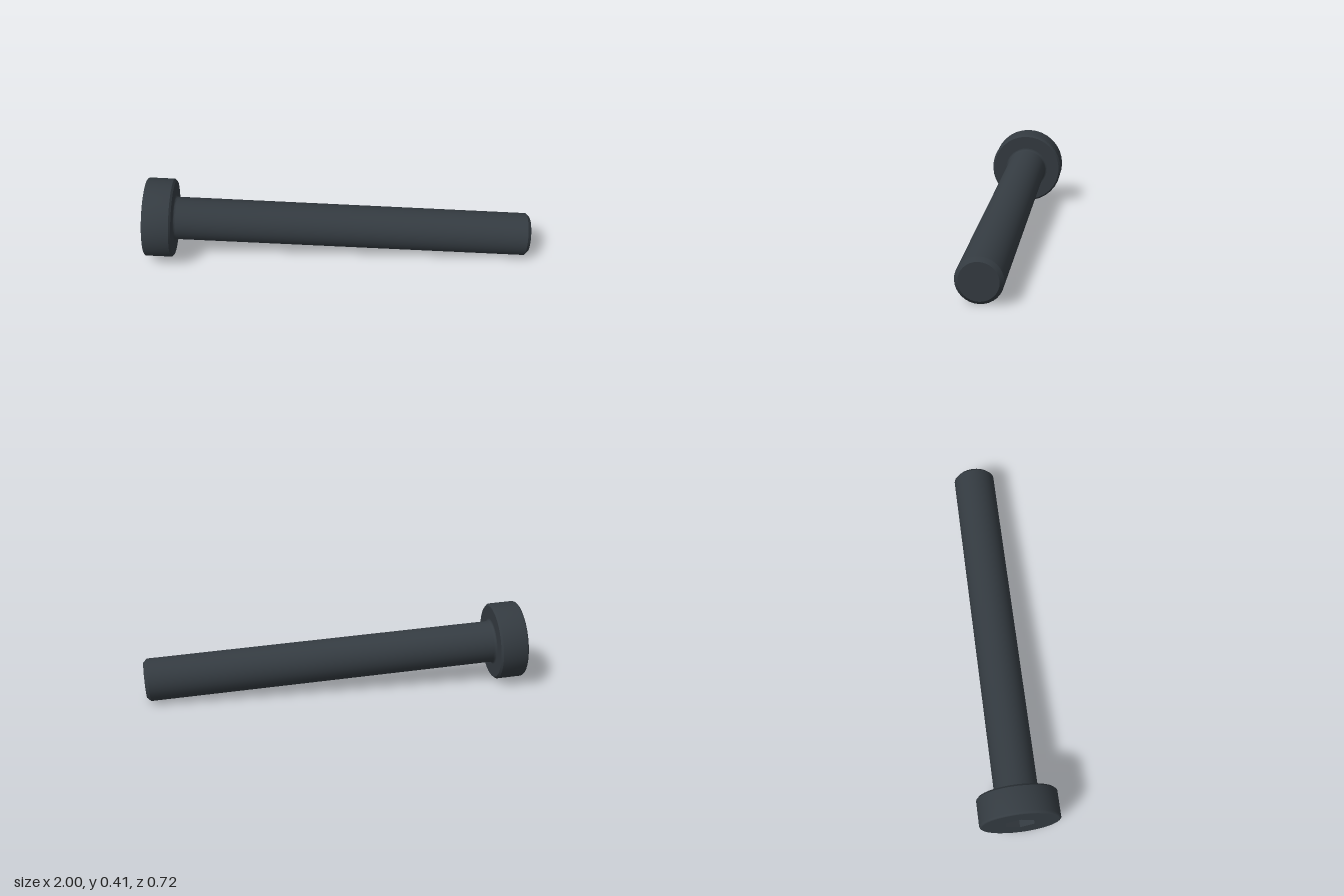
import * as THREE from 'three';
import { toCreasedNormals } from 'three/addons/utils/BufferGeometryUtils.js';

const SEGMENTS = 32;
const HEAD_RADIUS = 0.203, HEAD_HEIGHT = 0.147;
const SHAFT_RADIUS = 0.11, LENGTH = 1.985, TIP_CHAMFER = 0.018;
const EDGE = 0.01, FILLET = 0.012;
const HEX_RADIUS = 0.082, HEX_DEPTH = 0.08;

// Lathe with smooth sides and sharp edges, profile given as [radius, height]
function turned(points) {
  const profile = points.map(([r, y]) => new THREE.Vector2(r, y));
  return toCreasedNormals(new THREE.LatheGeometry(profile, SEGMENTS), 0.5);
}

function polygon(Type, radius, sides) {
  const points = [];
  for (let i = 0; i < sides; i++) {
    const a = (i / sides) * Math.PI * 2;
    points.push(new THREE.Vector2(Math.cos(a) * radius, Math.sin(a) * radius));
  }
  return new Type(points);
}

export function createModel() {
  const model = new THREE.Group();
  model.name = 'socketScrew';
  const steel = new THREE.MeshStandardMaterial({ color: 0x343b41 });
  steel.name = 'blackened steel';

  // The screw is built along local +y, from the head face to the tip
  const screw = new THREE.Group();
  screw.name = 'screw';
  screw.rotation.set(0, -0.211, -(Math.PI / 2 + 0.052), 'YZX');
  screw.position.set(-0.96, 0.2125, -0.163);
  model.add(screw);

  const add = (name, geometry) => {
    const mesh = new THREE.Mesh(geometry, steel);
    mesh.name = name;
    screw.add(mesh);
  };

  // Head side with rounded outer rim and bevelled underside
  const rim = [];
  for (let i = 0; i <= 4; i++) {
    const a = (i / 4) * Math.PI / 2;
    rim.push([HEAD_RADIUS - EDGE + Math.sin(a) * EDGE, EDGE - Math.cos(a) * EDGE]);
  }
  add('head', turned([
    ...rim,
    [HEAD_RADIUS, HEAD_HEIGHT - EDGE],
    [HEAD_RADIUS - EDGE, HEAD_HEIGHT],
    [SHAFT_RADIUS, HEAD_HEIGHT],
  ]));

  // Flat head face with the hexagonal opening
  const face = polygon(THREE.Shape, HEAD_RADIUS - EDGE, SEGMENTS);
  face.holes.push(polygon(THREE.Path, HEX_RADIUS, 6));
  add('headFace', new THREE.ShapeGeometry(face).rotateX(Math.PI / 2));

  // Hexagonal socket: walls facing inward, and floor
  const walls = new THREE.CylinderGeometry(HEX_RADIUS, HEX_RADIUS, HEX_DEPTH, 6, 1, true, Math.PI / 2);
  walls.scale(-1, 1, 1).translate(0, HEX_DEPTH / 2, 0);
  add('socketWalls', toCreasedNormals(walls, 0.5));
  add('socketFloor', new THREE.CircleGeometry(HEX_RADIUS, 6).rotateX(Math.PI / 2).translate(0, HEX_DEPTH, 0));

  // Shaft with a small fillet under the head and a chamfered tip
  const fillet = [];
  for (let i = 0; i <= 4; i++) {
    const a = (i / 4) * Math.PI / 2;
    fillet.push([
      SHAFT_RADIUS + FILLET * (1 - Math.sin(a)),
      HEAD_HEIGHT + FILLET * (1 - Math.cos(a)),
    ]);
  }
  add('shaft', turned([
    ...fillet,
    [SHAFT_RADIUS, LENGTH - TIP_CHAMFER],
    [SHAFT_RADIUS - TIP_CHAMFER, LENGTH],
    [0, LENGTH],
  ]));

  return model;
}
